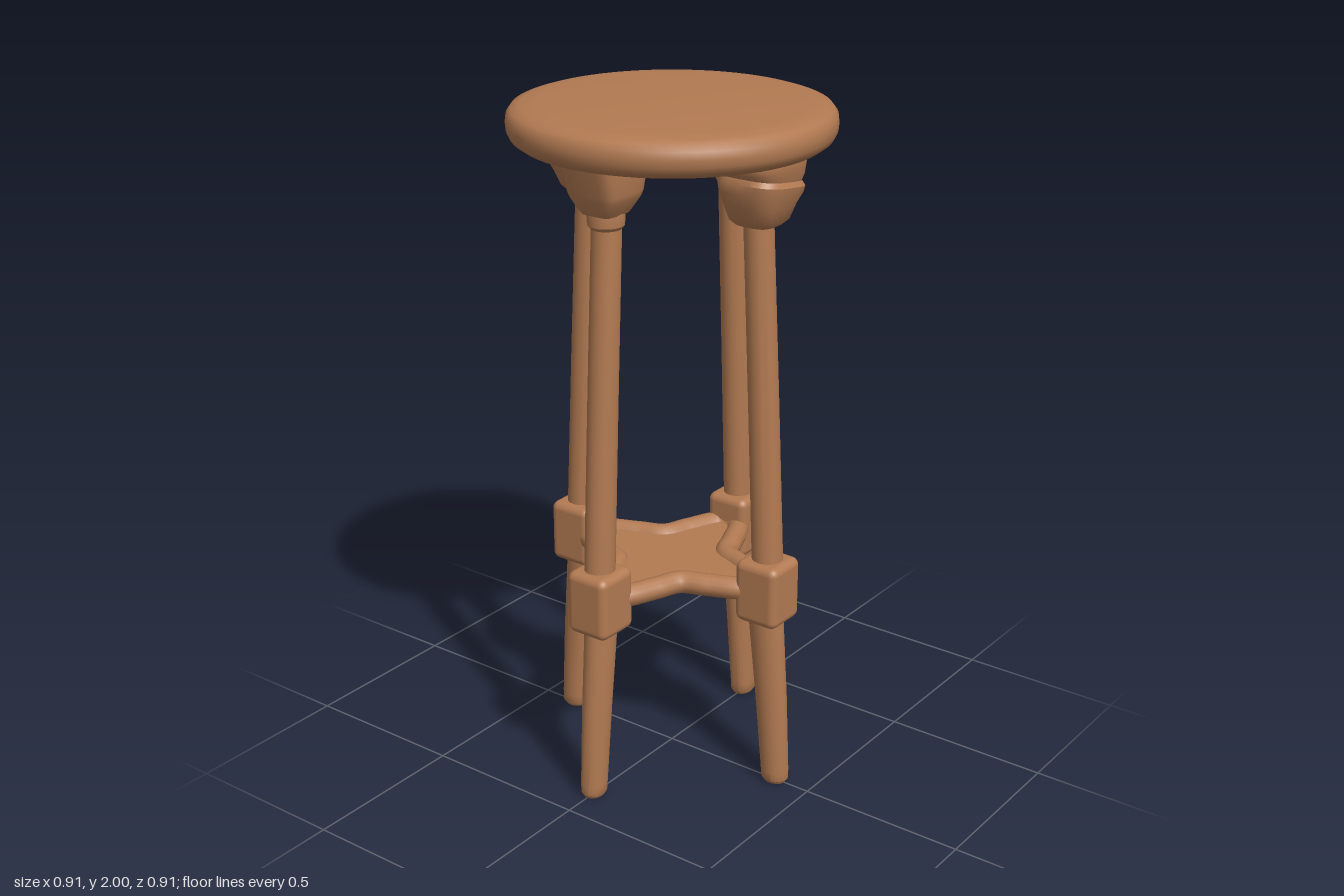
import * as THREE from 'three';
import { toCreasedNormals } from 'three/addons/utils/BufferGeometryUtils.js';
import { RoundedBoxGeometry } from 'three/addons/geometries/RoundedBoxGeometry.js';

const wood = new THREE.MeshStandardMaterial({ color: 0xb27a52 });
wood.name = 'warm wood';

// Closed solid through stacked sections [y, centreX, radiusX, radiusZ, skew];
// power 1 gives ellipses, smaller values give rounded boxes.
function loft(sections, power = 1, sides = 24) {
  const first = sections[0], last = sections[sections.length - 1];
  const rows = [[first[0], first[1], 0, 0], ...sections, [last[0], last[1], 0, 0]];
  const bend = v => Math.sign(v) * Math.pow(Math.abs(v), power);
  const positions = [], index = [];
  rows.forEach(([y, x, rx, rz, skew = 0], i) => {
    for (let j = 0; j < sides; j++) {
      const a = (j / sides) * Math.PI * 2;
      const c = bend(Math.cos(a)), s = bend(Math.sin(a));
      positions.push(x + rx * c, y + skew * s, rz * s);
      if (i === rows.length - 1) continue;
      const p = i * sides + j, q = i * sides + ((j + 1) % sides);
      index.push(p, p + sides, q, q, p + sides, q + sides);
    }
  });
  const geometry = new THREE.BufferGeometry();
  geometry.setAttribute('position', new THREE.Float32BufferAttribute(positions, 3));
  geometry.setIndex(index);
  return toCreasedNormals(geometry, 0.6);
}

function add(parent, name, geometry) {
  const mesh = new THREE.Mesh(geometry, wood);
  mesh.name = name;
  parent.add(mesh);
  return mesh;
}

// One leg, standing out along +x
function makeLeg(heavy) {
  const leg = new THREE.Group();
  add(leg, 'lowerLeg', loft([
    [0, 0.383, 0.034, 0.028],
    [0.012, 0.383, 0.042, 0.036],
    [0.04, 0.382, 0.043, 0.037],
    [0.28, 0.364, 0.049, 0.04],
    [0.56, 0.338, 0.055, 0.043],
  ]));
  add(leg, 'upperLeg', loft([
    [0.68, 0.343, 0.046, 0.044],
    [1.2, 0.318, 0.044, 0.043],
    [1.78, 0.288, 0.042, 0.042],
  ]));
  const block = add(leg, 'legBlock', new RoundedBoxGeometry(0.142, 0.192, 0.138, 3, 0.024));
  block.position.set(0.342, 0.625, 0);

  if (heavy) {
    // Broad carved bracket with a slanting fold
    add(leg, 'carvedBracket', loft([
      [1.708, 0.292, 0.058, 0.056],
      [1.722, 0.293, 0.072, 0.072],
      [1.765, 0.295, 0.085, 0.09],
      [1.8, 0.297, 0.098, 0.104, 0.008],
      [1.822, 0.297, 0.102, 0.107, 0.015],
      [1.836, 0.294, 0.096, 0.1, 0.015],
      [1.852, 0.291, 0.104, 0.11, 0.012],
      [1.882, 0.29, 0.11, 0.115],
      [1.9, 0.29, 0.109, 0.113],
    ], 0.6, 32));
  } else {
    // Squared bracket over a turned collar
    add(leg, 'bracket', loft([
      [1.755, 0.294, 0.053, 0.05],
      [1.768, 0.294, 0.062, 0.058],
      [1.8, 0.294, 0.075, 0.079],
      [1.818, 0.294, 0.081, 0.085],
      [1.9, 0.292, 0.104, 0.085],
    ], 0.4, 32));
    add(leg, 'collar', loft([
      [1.712, 0.293, 0.043, 0.043],
      [1.722, 0.293, 0.051, 0.051],
      [1.752, 0.293, 0.053, 0.053],
      [1.775, 0.293, 0.05, 0.05],
    ]));
  }
  return leg;
}

export function createModel() {
  const stool = new THREE.Group();
  stool.name = 'stool';

  // Round seat with softened edges
  const profile = [
    [0, 1.895], [0.405, 1.895], [0.425, 1.898], [0.444, 1.912], [0.453, 1.93], [0.455, 1.95],
    [0.452, 1.972], [0.44, 1.988], [0.415, 1.996], [0.37, 2], [0, 2],
  ].map(p => new THREE.Vector2(...p));
  add(stool, 'seat', toCreasedNormals(new THREE.LatheGeometry(profile, 72), 0.7));

  // Four splayed legs
  ['leftLeg', 'backLeg', 'rightLeg', 'frontLeg'].forEach((name, k) => {
    const leg = makeLeg(k % 2 === 0);
    leg.name = name;
    leg.rotation.y = k * Math.PI / 2;
    stool.add(leg);
  });

  // Inward-curving rails joining neighbouring legs
  const quarter = [[0.29, -0.03], [0.29, 0.03], [0.19, 0.082], [0.115, 0.115], [0.082, 0.19]];
  const points = [];
  for (let k = 0; k < 4; k++) {
    const c = Math.round(Math.cos(k * Math.PI / 2)), s = Math.round(Math.sin(k * Math.PI / 2));
    quarter.forEach(([x, z]) => points.push(new THREE.Vector3(x * c - z * s, 0, x * s + z * c)));
  }
  const path = new THREE.CatmullRomCurve3(points, true);
  add(stool, 'stretcherRails', new THREE.TubeGeometry(path, 160, 0.033, 12, true)).position.y = 0.623;

  // Thin web filling the space between the rails
  const outline = new THREE.Shape(path.getPoints(100).map(p => new THREE.Vector2(p.x, p.z)));
  const web = new THREE.ExtrudeGeometry(outline, { depth: 0.026, bevelEnabled: false });
  web.rotateX(-Math.PI / 2);
  add(stool, 'stretcherWeb', web).position.y = 0.61;

  return stool;
}
